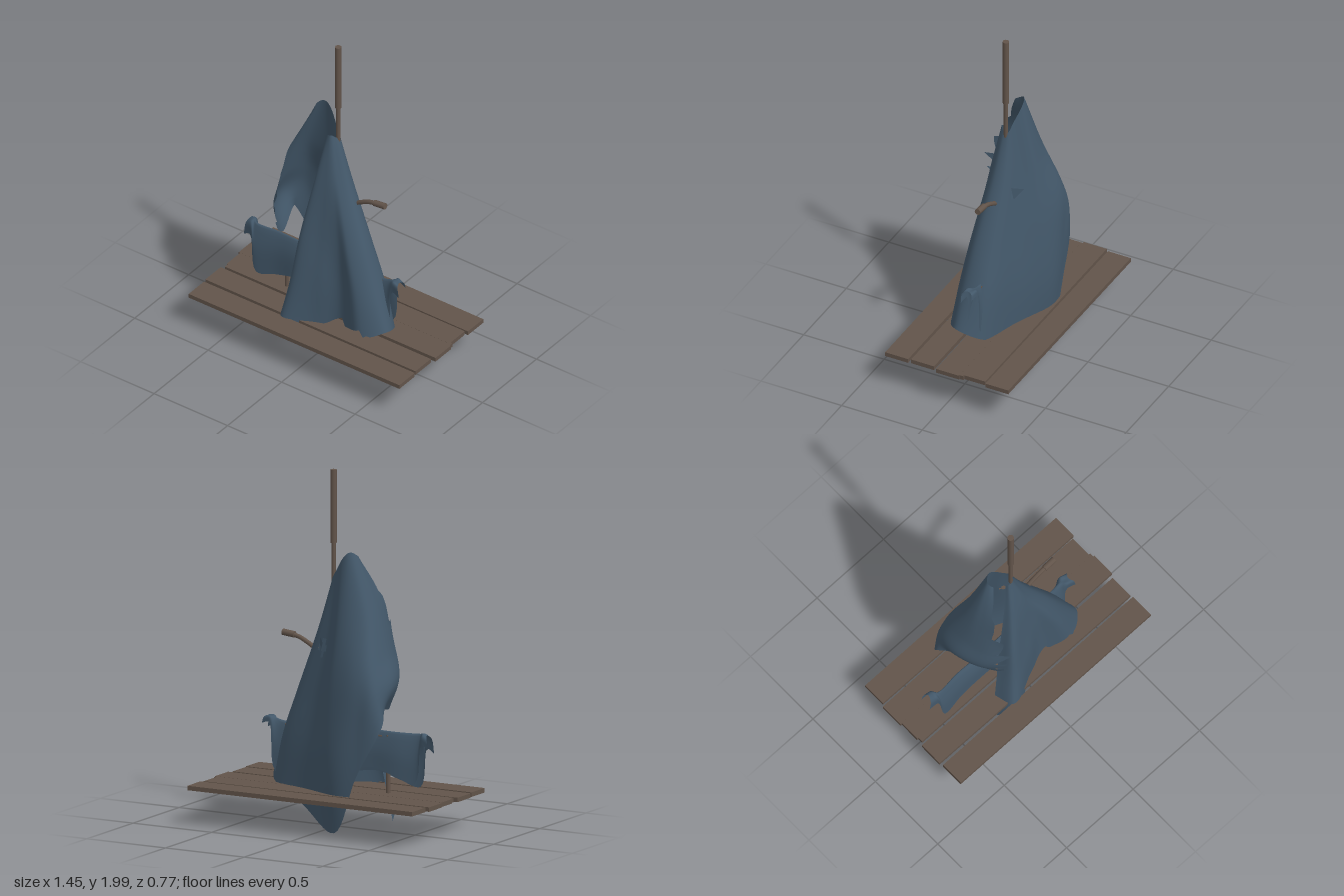
import * as THREE from 'three';

const V = (p) => new THREE.Vector3(p[0], p[1], p[2]);
const saw = (t) => t - Math.floor(t);

// Smooth open sheet through columns of points, with optional torn edge and hole
function sheet(columns, nu, nv, warp = (u, v) => [u, v], hole = () => false) {
  const curves = columns.map((c) => new THREE.CatmullRomCurve3(c.map(V)));
  const pos = [], idx = [];
  for (let j = 0; j <= nv; j++) {
    for (let i = 0; i <= nu; i++) {
      const [u, v] = warp(i / nu, j / nv);
      const across = new THREE.CatmullRomCurve3(curves.map((c) => c.getPoint(v)));
      const p = across.getPoint(u);
      pos.push(p.x, p.y, p.z);
    }
  }
  for (let j = 0; j < nv; j++) {
    for (let i = 0; i < nu; i++) {
      const a = j * (nu + 1) + i, b = a + 1, c = a + nu + 1, d = c + 1;
      if (hole(pos[3 * a], pos[3 * a + 1], pos[3 * a + 2])) continue;
      idx.push(a, c, b, b, c, d);
    }
  }
  const g = new THREE.BufferGeometry();
  g.setAttribute('position', new THREE.Float32BufferAttribute(pos, 3));
  g.setIndex(idx);
  g.computeVertexNormals();
  return g;
}

export function createModel() {
  const wood = new THREE.MeshStandardMaterial({ color: 0x62544a });
  wood.name = 'weathered wood';
  const cloth = new THREE.MeshStandardMaterial({ color: 0x43586a, side: THREE.DoubleSide });
  cloth.name = 'blue grey cloth';
  const root = new THREE.Group();
  root.name = 'tatteredSailRaft';
  const add = (name, geo, mat, x = 0, y = 0, z = 0) => {
    const m = new THREE.Mesh(geo, mat);
    m.name = name;
    m.position.set(x, y, z);
    root.add(m);
    return m;
  };

  // Deck planks: x centre, z centre
  [[0.005, -0.317], [-0.01, -0.163], [0, -0.037], [0.008, -0.01], [-0.008, 0.151], [-0.002, 0.311]]
    .forEach(([x, z], i) => {
      const p = add('plank', new THREE.BoxGeometry(1.432, 0.025, 0.142), wood, x, 0.2125 + (i % 2) * 0.0006, z);
      p.rotation.y = (i % 2 ? 1 : -1) * 0.002;
    });

  // Mast in two thicknesses
  add('mastLower', new THREE.CylinderGeometry(0.012, 0.012, 0.3, 12), wood, 0.018, 1.45, 0);
  add('mastUpper', new THREE.CylinderGeometry(0.018, 0.018, 0.41, 12), wood, 0.018, 1.795, 0);

  // Bent side branch with a thicker tip
  const bend = new THREE.CatmullRomCurve3([[0.12, 0.98, 0], [0.18, 1.015, 0], [0.24, 1.042, 0.002], [0.3, 1.052, 0.004]].map(V));
  add('branch', new THREE.TubeGeometry(bend, 12, 0.013, 8), wood);
  const tip = add('branchTip', new THREE.CylinderGeometry(0.018, 0.018, 0.075, 10), wood, 0.305, 1.054, 0.004);
  tip.rotation.z = -Math.PI / 2 + 0.1;

  // Low rail on two posts
  for (const x of [-0.33, 0.315]) {
    add('railPost', new THREE.CylinderGeometry(0.012, 0.012, 0.35, 10), wood, x, 0.375, 0);
  }
  const rail = add('rail', new THREE.CylinderGeometry(0.011, 0.011, 0.64, 10), wood, -0.008, 0.54, 0);
  rail.rotation.z = Math.PI / 2;

  // Front panel of the sail, from its free edge round to the right-hand fold
  const front = [
    [[-0.04, 1.38, 0.02], [-0.09, 1.1, 0.06], [-0.15, 0.75, 0.09], [-0.2, 0.42, 0.12], [-0.265, 0.03, 0.16]],
    [[-0.03, 1.4, 0.035], [-0.07, 1.1, 0.1], [-0.12, 0.75, 0.165], [-0.16, 0.42, 0.21], [-0.21, 0.11, 0.27]],
    [[-0.01, 1.41, 0.04], [0, 1.1, 0.1], [0, 0.75, 0.14], [0, 0.5, 0.17], [0, 0.21, 0.18]],
    [[0, 1.41, 0.035], [0.05, 1.1, 0.09], [0.1, 0.75, 0.12], [0.12, 0.5, 0.13], [0.13, 0.25, 0.14]],
    [[0.01, 1.4, 0.025], [0.08, 1.1, 0.075], [0.18, 0.75, 0.13], [0.25, 0.5, 0.16], [0.3, 0.25, 0.185]],
    [[0.02, 1.39, 0.01], [0.115, 1.1, 0.03], [0.25, 0.75, 0.07], [0.34, 0.5, 0.09], [0.42, 0.29, 0.1]],
  ];
  // Back panel and the left flap curling forward
  const back = [
    [[0.02, 1.39, -0.01], [0.1, 1.1, -0.03], [0.23, 0.75, -0.03], [0.32, 0.5, -0.03], [0.38, 0.24, -0.03]],
    [[-0.02, 1.45, -0.03], [0, 1.1, -0.08], [0.06, 0.75, -0.11], [0.1, 0.45, -0.13], [0.14, 0.13, -0.12]],
    [[-0.07, 1.52, -0.05], [-0.08, 1.1, -0.13], [-0.08, 0.75, -0.19], [-0.09, 0.4, -0.22], [-0.1, 0.01, -0.195]],
    [[-0.1, 1.55, -0.05], [-0.17, 1.15, -0.13], [-0.23, 0.85, -0.21], [-0.25, 0.6, -0.22], [-0.25, 0.34, -0.215]],
    [[-0.12, 1.555, -0.04], [-0.24, 1.2, -0.09], [-0.31, 0.95, -0.16], [-0.35, 0.8, -0.185], [-0.39, 0.63, -0.17]],
    [[-0.14, 1.54, -0.02], [-0.255, 1.25, -0.01], [-0.33, 1, -0.02], [-0.38, 0.83, -0.05], [-0.35, 0.7, -0.08]],
    [[-0.14, 1.53, 0], [-0.25, 1.25, 0.06], [-0.3, 1, 0.12], [-0.33, 0.85, 0.12], [-0.28, 0.68, 0.1]],
    [[-0.13, 1.52, 0.02], [-0.23, 1.25, 0.15], [-0.21, 1.06, 0.25], [-0.22, 0.94, 0.26], [-0.24, 0.79, 0.23]],
  ];
  // Torn left edge and a ragged stretch of the front hem
  const tear = (u, v) => [
    u * (1 - 0.045 * saw(v * 5.5) * Math.pow(u, 8) * Math.min(1, v * 3)),
    v * (1 - (u > 0.19 && u < 0.33 ? 0.05 * saw(u * 16) * Math.pow(v, 8) : 0)),
  ];
  const hole = (x, y, z) => z < -0.05 && Math.abs(x - 0.045) + Math.abs(y - 1.04) * 0.7 < 0.035;
  add('sail', sheet([...front, ...back], 104, 40, tear, hole), cloth);

  // Loose corner hanging from the hole
  const flap = new THREE.BufferGeometry().setFromPoints(
    [[0.07, 1.07, -0.06], [0.06, 0.99, -0.07], [0.02, 1.05, -0.115]].map(V));
  flap.computeVertexNormals();
  add('tornCorner', flap, cloth);

  // Cloth strip draped over the rail: x, ridge height, hem height, sideways sway
  const strip = [
    [-0.585, -0.61, 0.575, 0.47, -0.015], [-0.555, -0.56, 0.582, 0.49, -0.005], [-0.53, -0.51, 0.575, 0.27, 0.01],
    [-0.38, -0.38, 0.572, 0.3, 0], [-0.22, -0.24, 0.572, 0.335, 0.005], [0, 0, 0.565, 0.3, 0], [0.2, 0.2, 0.56, 0.28, 0],
    [0.34, 0.37, 0.565, 0.25, 0], [0.4, 0.41, 0.58, 0.52, 0], [0.44, 0.463, 0.582, 0.51, 0.01],
  ].map(([x, xb, top, hem, s]) => [
    [xb, hem, 0.035 + s], [(x + xb) / 2, (top + hem) / 2 + 0.03, 0.03 + s], [x, top, s],
    [(x + xb) / 2, (top + hem) / 2 + 0.03, -0.025 + s], [xb, hem + 0.03, -0.03 + s],
  ]);
  add('railCloth', sheet(strip, 54, 16), cloth);

  return root;
}
